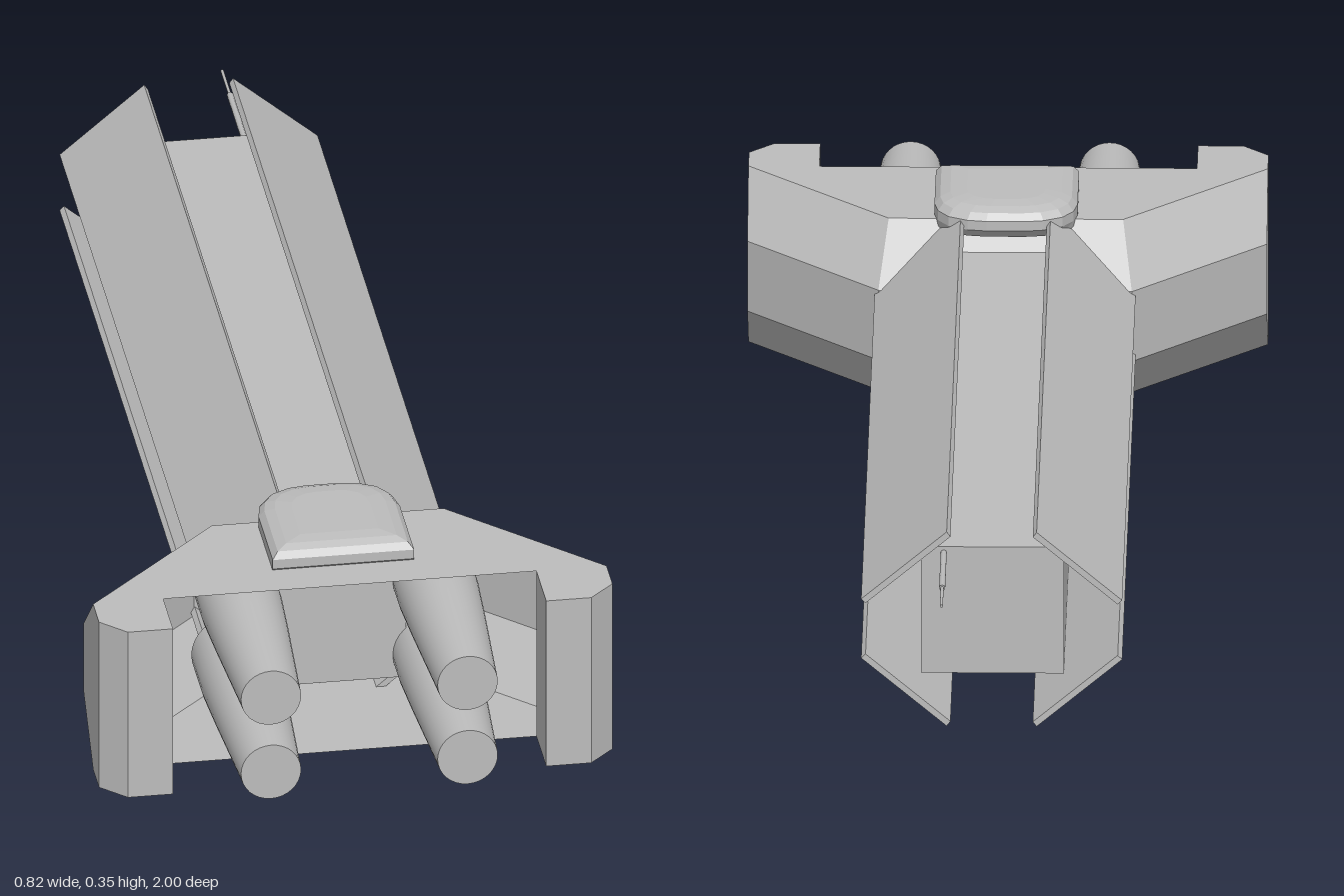
import * as THREE from 'three';

// Skin a stack of outlines (bottom to top, each running +x to -x round the back)
function loft(sections, closed) {
  const pos = [];
  const tri = (a, b, c) => {
    const area = new THREE.Triangle(a, b, c).getArea();
    if (area > 1e-7) for (const p of [a, b, c]) pos.push(p.x, p.y, p.z);
  };
  const n = sections[0].length;
  for (let s = 0; s < sections.length - 1; s++) {
    const lo = sections[s], up = sections[s + 1];
    for (let i = 0; i < (closed ? n : n - 1); i++) {
      const j = (i + 1) % n;
      tri(lo[i], lo[j], up[j]);
      tri(lo[i], up[j], up[i]);
    }
  }
  const bottom = sections[0], top = sections[sections.length - 1];
  for (let i = 1; i < n - 1; i++) {
    tri(bottom[0], bottom[i + 1], bottom[i]);
    tri(top[0], top[i], top[i + 1]);
  }
  const g = new THREE.BufferGeometry();
  g.setAttribute('position', new THREE.Float32BufferAttribute(pos, 3));
  g.computeVertexNormals();
  return g;
}

export function createModel() {
  const model = new THREE.Group();
  const grey = new THREE.MeshStandardMaterial({ color: 0xbcbcbc, side: THREE.DoubleSide });
  grey.name = 'hullGrey';
  const add = (name, geometry, x = 0, y = 0, z = 0) => {
    const mesh = new THREE.Mesh(geometry, grey);
    mesh.name = name;
    mesh.position.set(x, y, z);
    model.add(mesh);
    return mesh;
  };
  const V = (x, y, z) => new THREE.Vector3(x, y, z);
  const midY = 0.164;

  // Long rectangular core
  add('core', new THREE.BoxGeometry(0.226, 0.213, 1.415), 0, midY, -0.0575);

  // Flared stern shell, open at the front
  const ring = (y, sideZ, cornerX, cornerZ) => [
    V(0.41, y, 0.8), V(0.41, y, sideZ), V(cornerX, y, cornerZ),
    V(-cornerX, y, cornerZ), V(-0.41, y, sideZ), V(-0.41, y, 0.8),
  ];
  add('sternShell', loft([
    ring(0.015, 0.8, 0.185, 0.573),
    ring(0.105, 0.7, 0.2, 0.487),
    ring(0.223, 0.7, 0.2, 0.487),
    ring(0.312, 0.8, 0.185, 0.573),
  ], false));

  // Domed bridge with a rounded rear end
  const outline = [[0.113, 0.735], [0.113, 0.59], [0.107, 0.558], [0.09, 0.532], [0.06, 0.516], [0.03, 0.511]];
  const plan = [...outline, ...outline.slice().reverse().map(([x, z]) => [-x, z])];
  const level = (y, sx, sz) => plan.map(([x, z]) => V(x * sx, y, 0.63 + (z - 0.63) * sz));
  add('bridge', loft([
    level(0.3, 1, 0.88), level(0.315, 1, 1), level(0.331, 1, 1),
    level(0.342, 0.92, 0.93), level(0.348, 0.78, 0.8), level(0.351, 0.55, 0.6),
  ], true));

  // Four slanted armour plates
  const plateShape = (sx, sy) => new THREE.Shape(
    [[0.071, 0.164], [0.206, 0.05], [0.199, 0.043], [0.065, 0.156]]
      .map(([x, y]) => new THREE.Vector2(sx * x, sy * y)));
  for (const sx of [1, -1]) {
    for (const sy of [1, -1]) {
      const front = sy > 0 ? 0.56 : 0.6;
      add(sy > 0 ? 'upperArmourPlate' : 'lowerArmourPlate',
        new THREE.ExtrudeGeometry(plateShape(sx, sy), { depth: front + 0.85, bevelEnabled: false }),
        0, midY, -0.85);
    }
  }

  // Chamfered pods on the shell tips
  for (const s of [1, -1]) {
    const shape = new THREE.Shape([[0.298, 0.8], [0.298, 0.9], [0.37, 0.9], [0.41, 0.86], [0.41, 0.8]]
      .map(([x, z]) => new THREE.Vector2(s * x, -z)));
    const pod = new THREE.ExtrudeGeometry(shape, { depth: 0.297, bevelEnabled: false });
    pod.rotateX(-Math.PI / 2);
    add('sidePod', pod, 0, 0.015, 0);
  }

  // Four tapered engines with closed ends
  const profile = [[0, 0.6], [0.065, 0.6], [0.065, 0.7], [0.06, 0.8], [0.054, 0.9], [0.048, 1], [0, 1]]
    .map(([r, z]) => new THREE.Vector2(r, z));
  const side = new THREE.LatheGeometry(profile.slice(1, 6), 32).rotateX(Math.PI / 2);
  const cap = new THREE.CircleGeometry(0.048, 32);
  const back = new THREE.CircleGeometry(0.065, 32).rotateY(Math.PI);
  for (const x of [0.157, -0.157]) {
    for (const y of [0.23, 0.097]) {
      add('engine', side, x, y, 0);
      add('engineEnd', cap, x, y, 1);
      add('engineBack', back, x, y, 0.6);
    }
  }

  // Antenna at the nose
  const rod = (r, length) => new THREE.CylinderGeometry(r, r, length, 10).rotateX(Math.PI / 2);
  add('antennaBase', rod(0.005, 0.16), 0.077, 0.26, -0.84);
  add('antennaTip', rod(0.0025, 0.08), 0.077, 0.26, -0.96);

  return model;
}
